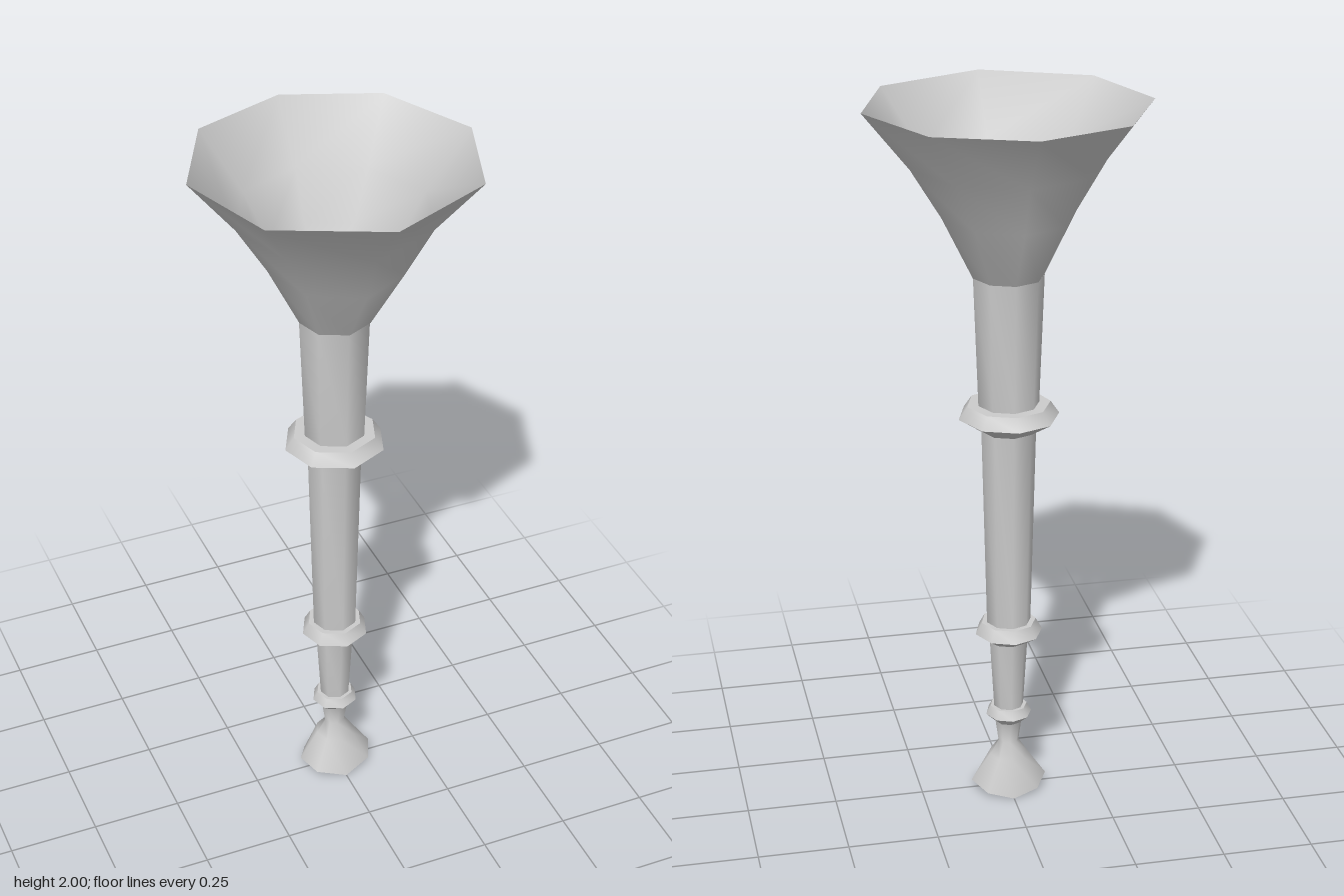
import * as THREE from 'three';

const material = new THREE.MeshStandardMaterial({ color: 0xcccccc, side: THREE.DoubleSide });

// Eight slightly uneven corner directions, mirrored across x, measured from the front
const half = [0, 48.7, 93.7, 138.3, 180];
const angles = [...half, -138.3, -93.7, -48.7].map(THREE.MathUtils.degToRad);
const N = angles.length;

// Skins rings [y, rx, rz, zCentre, dip] from bottom to top; dip lowers the front and back.
// Creased shells get their own rings per band so the edges stay sharp.
function shell(name, rings, creased = false) {
  const rows = creased ? rings.slice(1).flatMap((r, i) => [rings[i], r]) : rings;
  const positions = [], index = [];
  for (const [y, rx, rz = rx, zc = -0.01, dip = 0] of rows) {
    for (const a of angles) {
      positions.push(rx * Math.sin(a), y - dip * Math.cos(a) ** 2, zc + rz * Math.cos(a));
    }
  }
  for (let i = 0; i < rows.length - 1; i += creased ? 2 : 1) {
    for (let j = 0; j < N; j++) {
      const a = i * N + j, b = i * N + (j + 1) % N;
      index.push(a, b, a + N, b, b + N, a + N);
    }
  }
  const geometry = new THREE.BufferGeometry();
  geometry.setAttribute('position', new THREE.Float32BufferAttribute(positions, 3));
  geometry.setIndex(index);
  geometry.computeVertexNormals();
  const mesh = new THREE.Mesh(geometry, material);
  mesh.name = name;
  return mesh;
}

// Collar flaring out of the lower tube and stepping back in to the upper one
function collar(name, y0, y1, y2, rLower, rMax, rTop, rUpper) {
  return shell(name, [[y0, rLower], [y1, rMax], [y2, rTop], [y2, rUpper]], true);
}

export function createModel() {
  const horn = new THREE.Group();
  horn.name = 'horn';
  horn.add(
    // Flared oval mouthpiece with a wavy lip, and its narrow throat
    shell('mouthpiece', [
      [0.03, 0.108, 0.086, -0.005, 0.03],
      [0.11, 0.054, 0.058, -0.01],
      [0.15, 0.029, 0.024, -0.01],
      [0.215, 0.038, 0.038, -0.01],
    ]),
    collar('lowerCollar', 0.215, 0.24, 0.265, 0.038, 0.065, 0.052, 0.042),
    shell('lowerTube', [[0.265, 0.042], [0.47, 0.054]]),
    collar('middleCollar', 0.47, 0.497, 0.53, 0.054, 0.095, 0.077, 0.062),
    shell('middleTube', [[0.53, 0.062], [1.105, 0.076]]),
    collar('upperCollar', 1.105, 1.145, 1.18, 0.076, 0.139, 0.115, 0.084),
    shell('upperTube', [[1.18, 0.084], [1.54, 0.097]]),
    // Wide open bell
    shell('bell', [
      [1.54, 0.097, 0.1, -0.008],
      [1.71, 0.18, 0.207, -0.008],
      [1.845, 0.262, 0.262, -0.007],
      [2, 0.386, 0.386, -0.001],
    ]),
  );
  return horn;
}
